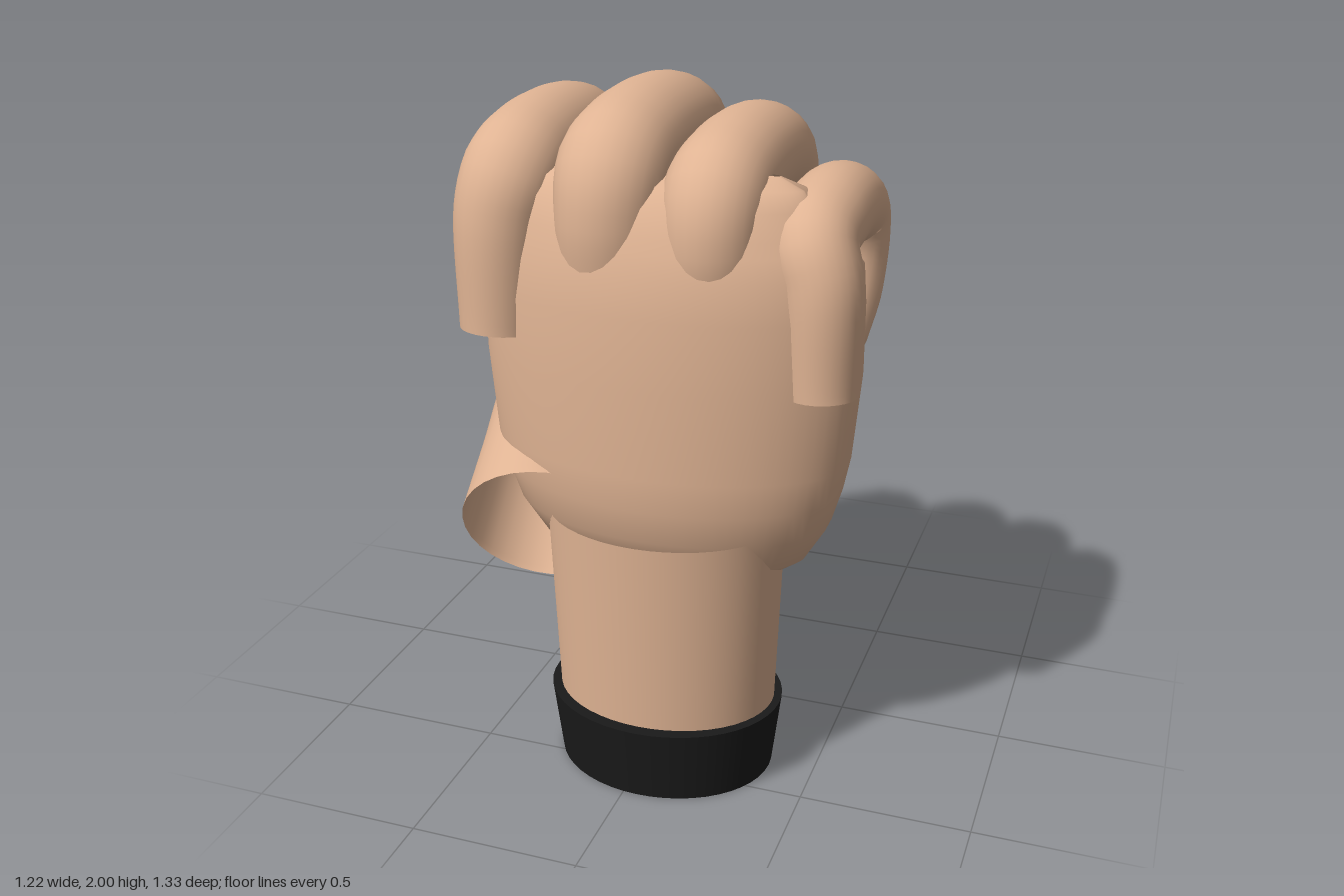
import * as THREE from 'three';

const skin = new THREE.MeshStandardMaterial({ color: 0xdfb393, side: THREE.DoubleSide });
skin.name = 'skin';
const nailMat = new THREE.MeshStandardMaterial({ color: 0xdbd0ce });
nailMat.name = 'nail';
const black = new THREE.MeshStandardMaterial({ color: 0x1a1a1a });
black.name = 'black cuff';

// Joins closed rings of points into one smooth surface
function loft(rings) {
  const n = rings[0].length, pos = [], idx = [];
  rings.forEach((ring) => ring.forEach((p) => pos.push(p.x, p.y, p.z)));
  for (let i = 0; i < rings.length - 1; i++) {
    for (let j = 0; j < n; j++) {
      const a = i * n + j, b = i * n + (j + 1) % n;
      idx.push(a, b, a + n, b, b + n, a + n);
    }
  }
  const g = new THREE.BufferGeometry();
  g.setAttribute('position', new THREE.Float32BufferAttribute(pos, 3));
  g.setIndex(idx);
  g.computeVertexNormals();
  return g;
}

// Round limb along points [x, y, z, radius]: open at the start, domed at the end
function limb(points, steps = 48, sides = 28) {
  const curve = new THREE.CatmullRomCurve3(points.map((p) => new THREE.Vector3(p[0], p[1], p[2])));
  const frames = curve.computeFrenetFrames(steps);
  const ring = (c, r, k) => Array.from({ length: sides }, (_, j) => {
    const a = (j / sides) * Math.PI * 2;
    return c.clone()
      .addScaledVector(frames.normals[k], Math.cos(a) * r)
      .addScaledVector(frames.binormals[k], Math.sin(a) * r);
  });
  const rings = [];
  for (let i = 0; i <= steps; i++) {
    const f = curve.getUtoTmapping(i / steps) * (points.length - 1);
    const k = Math.min(Math.floor(f), points.length - 2);
    const r = THREE.MathUtils.lerp(points[k][3], points[k + 1][3], f - k);
    rings.push(ring(curve.getPointAt(i / steps), r, i));
  }
  const end = points[points.length - 1];
  const tip = new THREE.Vector3(end[0], end[1], end[2]);
  for (let i = 1; i <= 8; i++) {
    const a = (i / 8) * Math.PI / 2;
    const c = tip.clone().addScaledVector(frames.tangents[steps], Math.sin(a) * end[3]);
    rings.push(ring(c, Math.max(Math.cos(a) * end[3], 0.0005), steps));
  }
  return loft(rings);
}

export function createModel() {
  const hand = new THREE.Group();
  hand.name = 'fist';
  const add = (name, geometry, material) => {
    const m = new THREE.Mesh(geometry, material);
    m.name = name;
    hand.add(m);
    return m;
  };

  // Flattened nail lying on a fingertip, facing along a direction
  const nail = (name, center, dir, size) => {
    const m = add(name, new THREE.SphereGeometry(1, 20, 12), nailMat);
    m.position.copy(center);
    m.quaternion.setFromUnitVectors(new THREE.Vector3(0, 0, 1), dir);
    m.scale.set(...size);
  };

  // Palm sections: y, x min, x max, z back, z front
  const sections = [
    [0.64, -0.2, 0.32, 0.24, 0.42],
    [0.65, -0.28, 0.385, 0.19, 0.47],
    [0.7, -0.35, 0.45, 0.145, 0.54],
    [0.8, -0.42, 0.51, 0.11, 0.585],
    [0.9, -0.455, 0.54, 0.1, 0.605],
    [1.0, -0.48, 0.56, 0.095, 0.61],
    [1.25, -0.505, 0.583, 0.095, 0.605],
    [1.45, -0.51, 0.583, 0.1, 0.595],
    [1.56, -0.5, 0.575, 0.11, 0.575],
    [1.62, -0.48, 0.54, 0.14, 0.555],
    [1.66, -0.46, 0.5, 0.18, 0.54],
    [1.73, -0.43, 0.46, 0.23, 0.51],
    [1.78, -0.39, 0.43, 0.28, 0.46],
    [1.81, -0.3, 0.36, 0.34, 0.38],
  ];
  add('palm', loft(sections.map(([y, x0, x1, z0, z1]) =>
    Array.from({ length: 72 }, (_, j) => {
      const a = (j / 72) * Math.PI * 2, s = -Math.sin(a);
      const u = Math.cos(a);
      // Rounded back of the hand, squarer hollowed inner side
      const v = s > 0 ? s ** 1.2 : -(Math.abs(s) ** 0.45);
      const hollow = s < 0 ? 0.22 * (z1 - z0) * (1 - u * u) ** 2 * -v : 0;
      return new THREE.Vector3((x0 + x1) / 2 + u * (x1 - x0) / 2, y,
        (z0 + z1) / 2 + v * (z1 - z0) / 2 + hollow);
    }))), skin);

  // Fingers: base x, x, radius, base radius, base y, base z, top, back z, front z, tip y, tip z
  const fingers = [
    ['index', -0.425, -0.4, 0.146, 0.117, 1.33, 0.435, 1.942, -0.285, 0.55, 1.36, 0.07],
    ['middle', -0.095, -0.095, 0.16, 0.152, 1.47, 0.4, 1.992, -0.3, 0.58, 1.35, 0.07],
    ['ring', 0.2, 0.195, 0.145, 0.137, 1.5, 0.405, 1.932, -0.25, 0.57, 1.335, 0.08],
    ['little', 0.508, 0.457, 0.12, 0.098, 1.24, 0.425, 1.797, -0.145, 0.525, 1.325, 0.12],
  ];
  const nailDir = new THREE.Vector3(0, -1, -0.2).normalize();
  for (const [name, bx, x, r, baseR, y0, z0, top, back, front, ty, tz] of fingers) {
    const t = top - r, b = back + r, f = front - r;
    add(name + 'Finger', limb([
      [bx, y0, z0, baseR],
      [bx * 0.7 + x * 0.3, t - 0.14, f, r * 0.95],
      [x, t - 0.04, f - 0.04, r],
      [x, t, f - 0.16, r],
      [x, t, b + 0.12, r],
      [x, t - 0.04, b + 0.02, r],
      [x, t - 0.14, b, r * 0.98],
      [x, (t - 0.14 + ty) / 2 - 0.02, b + (tz - b) * 0.35, r * 0.94],
      [x, ty, tz, r * 0.85],
    ]), skin);
    const center = new THREE.Vector3(x, ty, tz).addScaledVector(nailDir, r * 0.83);
    nail(name + 'Nail', center, nailDir, [0.06, 0.055, 0.02]);
  }

  // Thumb, reaching from the front of the palm edge round to the back
  add('thumb', limb([
    [-0.295, 0.735, 0.455, 0.255],
    [-0.345, 0.85, 0.24, 0.238],
    [-0.38, 0.975, 0.06, 0.225],
    [-0.398, 1.075, -0.1, 0.212],
    [-0.38, 1.17, -0.28, 0.2],
    [-0.305, 1.23, -0.41, 0.184],
    [-0.218, 1.26, -0.49, 0.173],
  ], 48, 32), skin);
  nail('thumbNail', new THREE.Vector3(-0.2, 1.315, -0.643),
    new THREE.Vector3(0.05, 0.4, -1).normalize(), [0.038, 0.055, 0.014]);

  // Oval wrist sleeve, open at the top
  const wrist = add('wrist', new THREE.CylinderGeometry(0.352, 0.328, 0.61, 48, 1, true), skin);
  wrist.scale.z = 0.775;
  wrist.position.set(0.043, 0.505, 0.375);

  // Flared dark cuff
  const cuff = add('cuff', new THREE.CylinderGeometry(0.353, 0.325, 0.225, 48), black);
  cuff.scale.z = 0.82;
  cuff.position.set(0.042, 0.1125, 0.377);

  return hand;
}
